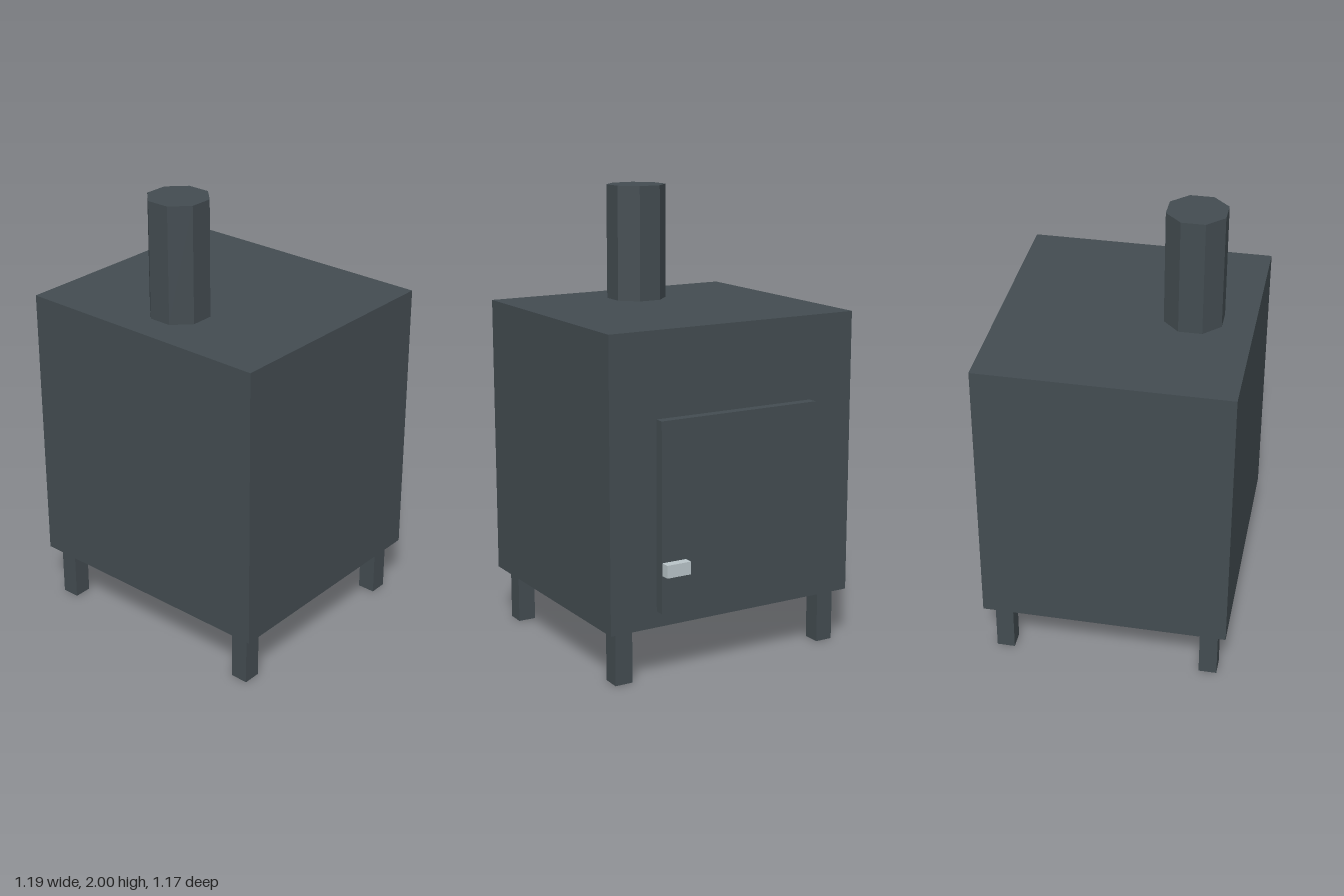
import * as THREE from 'three';

export function createModel() {
  const iron = new THREE.MeshStandardMaterial({ color: 0x434c51 });
  iron.name = 'dark iron';
  const steel = new THREE.MeshStandardMaterial({ color: 0xb9c4c8 });
  steel.name = 'pale steel';
  const stove = new THREE.Group();
  stove.name = 'stove';

  // Box given by its minimum and maximum corners
  function box(name, min, max, material) {
    const size = max.map((v, i) => v - min[i]);
    const mesh = new THREE.Mesh(new THREE.BoxGeometry(...size), material);
    mesh.position.set(...max.map((v, i) => (v + min[i]) / 2));
    mesh.name = name;
    stove.add(mesh);
  }

  // Firebox with the door and its handle on the back side
  box('firebox', [-0.595, 0.24, -0.502], [0.595, 1.49, 0.583], iron);
  box('door', [-0.38, 0.31, -0.545], [0.378, 1.125, -0.502], iron);
  box('doorHandle', [0.263, 0.475, -0.585], [0.376, 0.53, -0.545], steel);

  // Four square legs
  for (const [side, x] of [['right', -0.515], ['left', 0.51]]) {
    for (const [end, z] of [['Front', 0.505], ['Back', -0.417]]) {
      box(`${side}${end}Leg`, [x - 0.04, 0, z - 0.04], [x + 0.04, 0.24, z + 0.04], iron);
    }
  }

  // Eight-sided chimney pipe with flats facing the axes
  const radius = 0.123 / Math.cos(Math.PI / 8);
  const pipeGeometry = new THREE.CylinderGeometry(radius, radius, 0.51, 8).toNonIndexed();
  pipeGeometry.rotateY(Math.PI / 8);
  pipeGeometry.computeVertexNormals();
  const pipe = new THREE.Mesh(pipeGeometry, iron);
  pipe.name = 'chimneyPipe';
  pipe.position.set(-0.002, 1.745, 0.323);
  stove.add(pipe);

  return stove;
}
